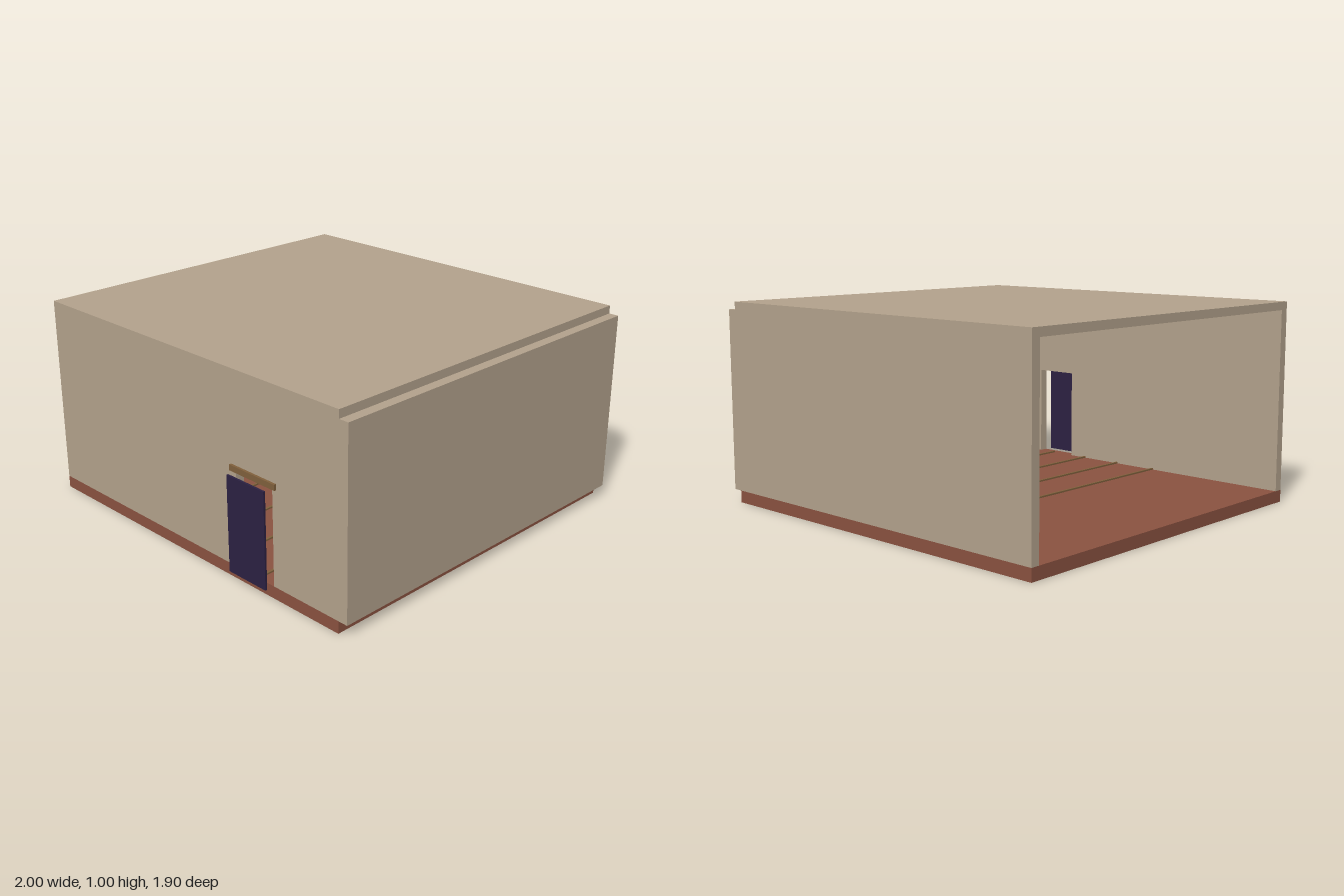
import * as THREE from 'three';

const mat = (name, color) => {
  const m = new THREE.MeshStandardMaterial({ color });
  m.name = name;
  return m;
};

export function createModel() {
  const wall = mat('beige plaster', 0xb3a28c);
  const floorRed = mat('red floor', 0x8a5240);
  const wood = mat('brown wood', 0x80603c);
  const doorDark = mat('dark violet', 0x2c2142);

  const group = new THREE.Group();
  group.name = 'room';

  // Box given by its lower and upper bounds on each axis
  const box = (name, material, [x0, x1], [y0, y1], [z0, z1]) => {
    const mesh = new THREE.Mesh(new THREE.BoxGeometry(x1 - x0, y1 - y0, z1 - z0), material);
    mesh.position.set((x0 + x1) / 2, (y0 + y1) / 2, (z0 + z1) / 2);
    mesh.name = name;
    group.add(mesh);
    return mesh;
  };

  const back = -0.95, front = 0.9, t = 0.045;

  // Floor slab, ceiling and closed walls; the -x side stays open
  box('floor', floorRed, [-1, 0.95], [0, 0.06], [back, front]);
  box('ceiling', wall, [-1, 0.95], [0.96, 1], [back, front]);
  box('backWall', wall, [-1, 0.95], [0.06, 0.96], [back, back + t]);
  box('leftWall', wall, [0.95, 1], [0.06, 0.96], [back, front]);

  // Front wall with an open doorway notched into its lower edge
  const outline = new THREE.Shape();
  [[-1, 0.06], [0.33, 0.06], [0.33, 0.53], [0.56, 0.53], [0.56, 0.06],
    [0.95, 0.06], [0.95, 0.96], [-1, 0.96]].forEach(([x, y], i) =>
    i ? outline.lineTo(x, y) : outline.moveTo(x, y));
  outline.closePath();
  const frontWall = new THREE.Mesh(
    new THREE.ExtrudeGeometry(outline, { depth: t, bevelEnabled: false }), wall);
  frontWall.position.z = front - t;
  frontWall.name = 'frontWall';
  group.add(frontWall);

  // Door panel standing clear of the wall, and the lintel above it
  box('door', doorDark, [0.325, 0.56], [0.06, 0.53], [0.94, 0.95]);
  box('lintel', wood, [0.3, 0.585], [0.53, 0.558], [front, 0.912]);

  // Thin wooden strips across the floor
  for (const x of [-0.24, 0, 0.23, 0.46]) {
    box('floorStrip', wood, [x - 0.006, x + 0.006], [0.06, 0.068], [back + t, front - t]);
  }
  return group;
}
